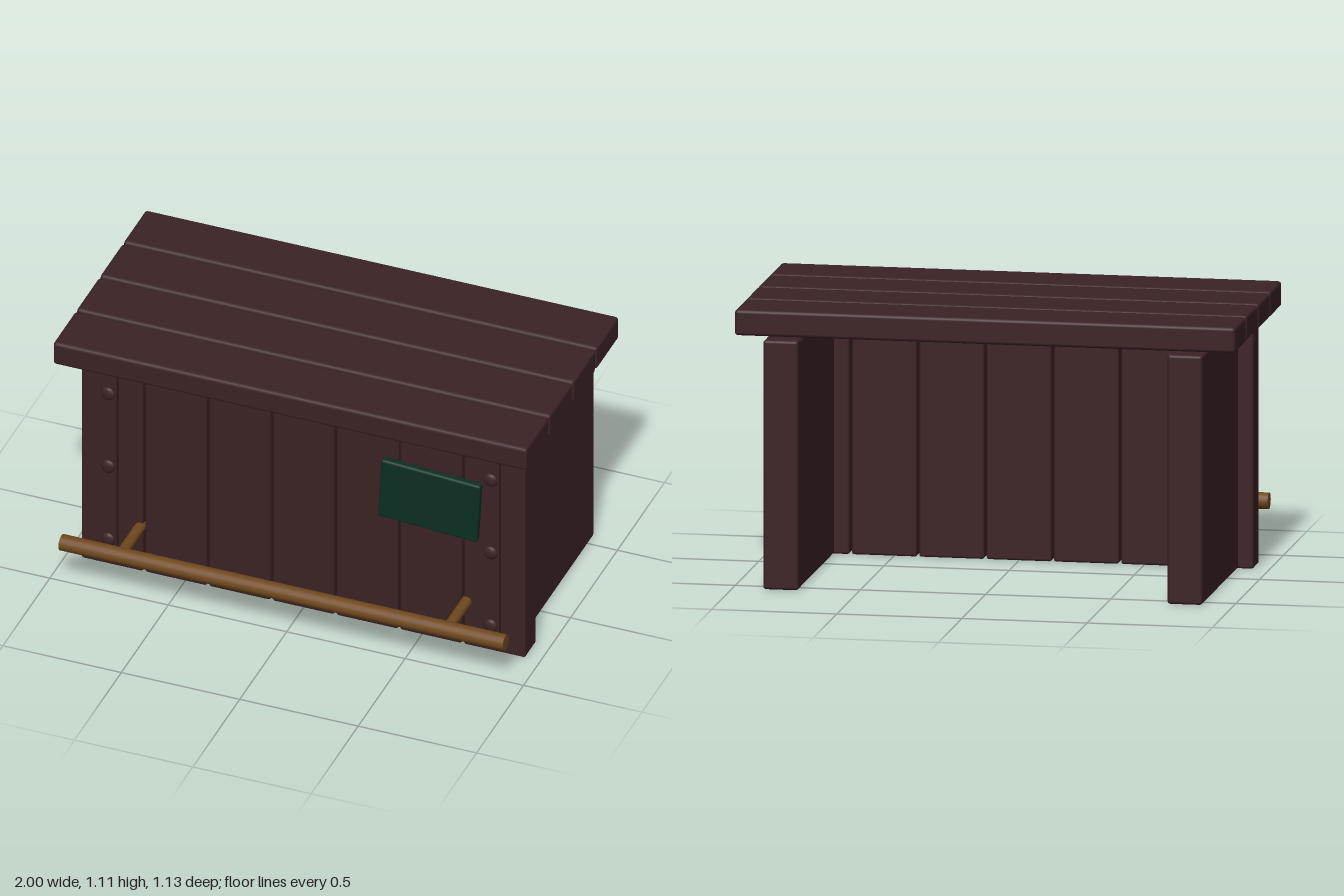
import * as THREE from 'three';
import { RoundedBoxGeometry } from 'three/addons/geometries/RoundedBoxGeometry.js';

export function createModel() {
  const model = new THREE.Group();
  model.name = 'barCounter';

  const mat = (name, color) => {
    const m = new THREE.MeshStandardMaterial({ color });
    m.name = name;
    return m;
  };
  const darkWood = mat('darkWood', 0x3c2324);
  const railWood = mat('railWood', 0x70491f);
  const green = mat('signGreen', 0x0c2f24);

  const add = (name, geometry, material, x, y, z) => {
    const mesh = new THREE.Mesh(geometry, material);
    mesh.name = name;
    mesh.position.set(x, y, z);
    model.add(mesh);
    return mesh;
  };
  const board = (w, h, d, r = 0.012) => new RoundedBoxGeometry(w, h, d, 2, r);

  // Counter top: four long planks with narrow gaps
  const topPlank = board(2, 0.103, 0.24, 0.014);
  for (let i = 0; i < 4; i++) add('topPlank', topPlank, darkWood, 0, 1.059, 0.35 - i * 0.25);

  // Front: seven upright planks
  const frontPlank = board(0.26, 0.997, 0.122, 0.01);
  for (let i = -3; i <= 3; i++) add('frontPlank', frontPlank, darkWood, i * 0.269, 0.5035, 0.264);

  // Mirrored side panels, straps with rivets, and rail brackets
  const panel = board(0.14, 0.997, 0.775);
  const strap = new THREE.BoxGeometry(0.06, 0.92, 0.024);
  const rivet = new THREE.SphereGeometry(0.03, 16, 12).scale(1, 1, 0.48);
  const bracket = new THREE.CylinderGeometry(0.022, 0.022, 0.235, 16).rotateX(Math.PI / 2);
  for (const side of [-1, 1]) {
    add('sidePanel', panel, darkWood, side * 0.807, 0.5035, -0.1775);
    add('strap', strap, darkWood, side * 0.807, 0.502, 0.34);
    for (const y of [0.155, 0.503, 0.85]) add('rivet', rivet, darkWood, side * 0.807, y, 0.365);
    add('railBracket', bracket, railWood, side * 0.69, 0.215, 0.4175);
  }

  // Foot rail
  add('footRail', new THREE.CylinderGeometry(0.033, 0.033, 1.876, 20).rotateZ(Math.PI / 2),
    railWood, 0, 0.215, 0.533);

  // Crooked hanging sign and its two hangers
  add('sign', board(0.42, 0.272, 0.034, 0.01), green, 0.555, 0.696, 0.37).rotation.z = -0.056;
  const hanger = new THREE.BoxGeometry(0.018, 0.145, 0.016);
  for (const x of [0.421, 0.69]) add('signHanger', hanger, darkWood, x, 0.94, 0.381);

  return model;
}
